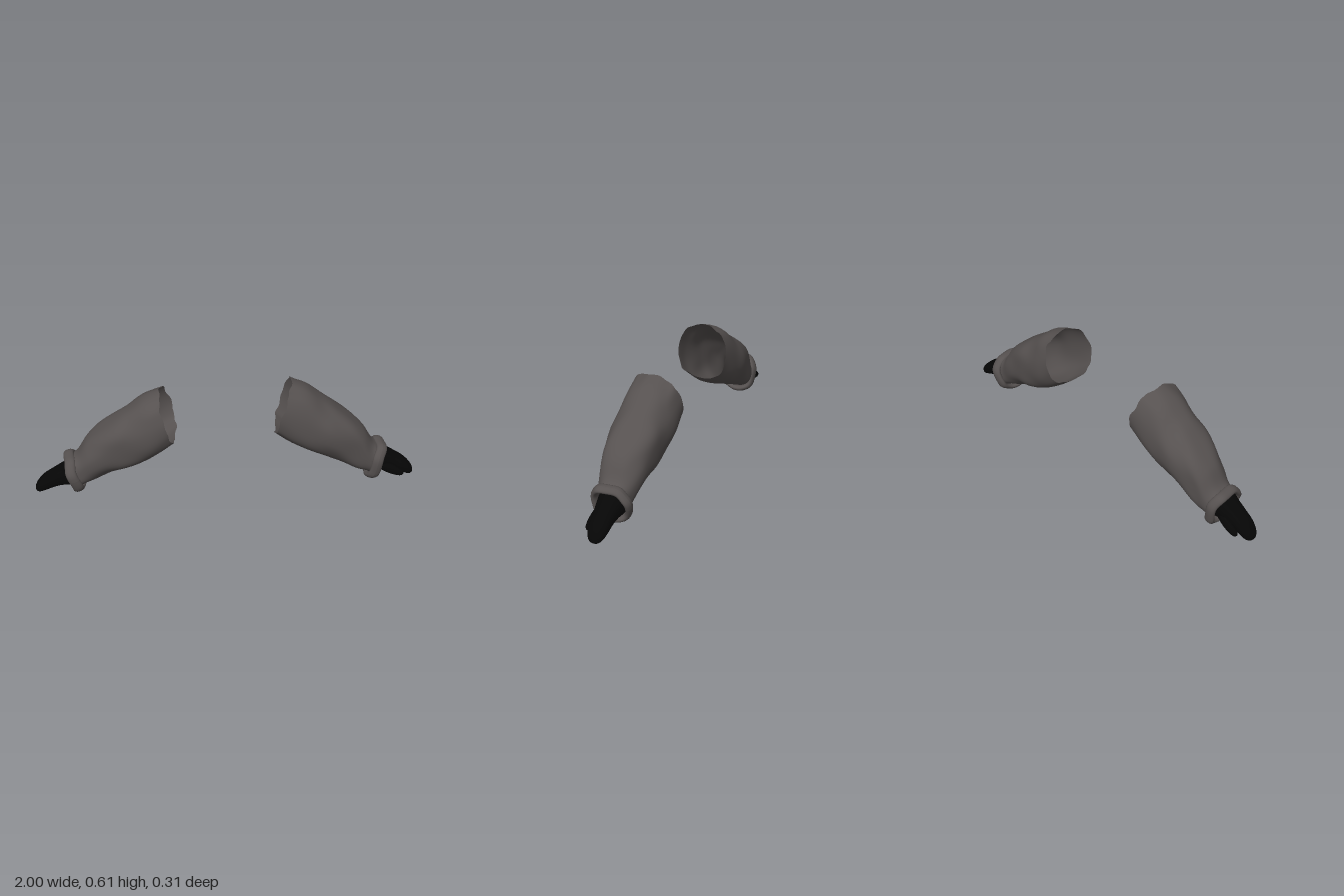
import * as THREE from 'three';

const SLEEVE = new THREE.MeshStandardMaterial({ color: 0x565150, side: THREE.DoubleSide });
SLEEVE.name = 'greyCloth';
const GLOVE = new THREE.MeshStandardMaterial({ color: 0x060606, side: THREE.DoubleSide });
GLOVE.name = 'blackGlove';

const sgnPow = (v, e) => Math.sign(v) * Math.abs(v) ** e;

// Smooth tube through sections [topX, topY, bottomX, bottomY, zBack, zFront].
// tweak(point, t, angle) may shift each vertex.
function loft(rows, { along = 32, around = 40, power = 0.85, tweak } = {}) {
  const curve = (f) => new THREE.CatmullRomCurve3(rows.map(f), false, 'centripetal');
  const top = curve((r) => new THREE.Vector3(r[0], r[1], r[4]));
  const bottom = curve((r) => new THREE.Vector3(r[2], r[3], r[5]));
  const pos = [], index = [];
  for (let i = 0; i <= along; i++) {
    const t = i / along, a = top.getPoint(t), b = bottom.getPoint(t);
    for (let j = 0; j < around; j++) {
      const ang = (j / around) * Math.PI * 2;
      const u = (1 + sgnPow(Math.cos(ang), power)) / 2;
      const w = (1 + sgnPow(Math.sin(ang), power)) / 2;
      const p = new THREE.Vector3(b.x + (a.x - b.x) * u, b.y + (a.y - b.y) * u, a.z + (b.z - a.z) * w);
      if (tweak) tweak(p, t, ang);
      pos.push(p.x, p.y, p.z);
      if (i < along) {
        const k = (j + 1) % around, r = i * around, s = r + around;
        index.push(r + j, r + k, s + j, r + k, s + k, s + j);
      }
    }
  }
  const g = new THREE.BufferGeometry();
  g.setAttribute('position', new THREE.Float32BufferAttribute(pos, 3));
  g.setIndex(index);
  g.computeVertexNormals();
  return g;
}

function add(group, name, geometry, material) {
  const mesh = new THREE.Mesh(geometry, material);
  mesh.name = name;
  group.add(mesh);
}

// Baggy sleeve with soft folds and a ragged shoulder opening
function sleeveGeometry() {
  const rows = [
    [0.335, 0.612, 0.258, 0.34, -0.155, 0.132],
    [0.42, 0.575, 0.345, 0.27, -0.152, 0.134],
    [0.50, 0.513, 0.43, 0.223, -0.143, 0.132],
    [0.57, 0.464, 0.525, 0.182, -0.136, 0.13],
    [0.66, 0.393, 0.60, 0.147, -0.115, 0.12],
    [0.72, 0.328, 0.68, 0.103, -0.098, 0.106],
    [0.77, 0.247, 0.735, 0.08, -0.086, 0.092],
    [0.805, 0.22, 0.77, 0.055, -0.083, 0.084],
  ];
  return loft(rows, {
    along: 44, around: 56, power: 0.78,
    tweak(p, t, a) {
      // narrower towards the top near the shoulder
      p.z *= 1 - 0.14 * (1 - t) * Math.max(0, Math.cos(a));
      const mid = Math.sin(Math.PI * t);
      const fold = mid * (0.003 * Math.sin(3 * a + 9 * t) + 0.002 * Math.sin(5 * a - 14 * t));
      p.y += fold * Math.cos(a);
      p.z += fold * Math.sin(a) * 1.5;
      const rim = Math.max(0, 1 - t / 0.2);
      p.x += rim * (-0.016 * Math.sin(a) + 0.004 * Math.sin(6 * a + 1) + 0.003 * Math.sin(11 * a));
      p.y += rim * 0.004 * Math.sin(7 * a + 2);
    },
  });
}

// Rolled cuff: a squarish, slightly lumpy band
function cuffGeometry() {
  const g = new THREE.TorusGeometry(1, 0.17, 16, 56);
  const p = g.attributes.position;
  for (let i = 0; i < p.count; i++) {
    const x = p.getX(i), y = p.getY(i), a = Math.atan2(y, x);
    const lump = 1 + 0.025 * Math.sin(3 * a + 1) + 0.015 * Math.sin(7 * a);
    const s = Math.hypot(x, y) * 0.089 * lump;
    p.setXYZ(i, s * 1.02 * sgnPow(Math.cos(a), 0.82), s * 1.06 * sgnPow(Math.sin(a), 0.86),
      p.getZ(i) * 0.17 + 0.004 * Math.sin(4 * a));
  }
  g.rotateY(Math.PI / 2);
  g.rotateZ(-0.27);
  g.translate(0.79, 0.134, 0);
  g.computeVertexNormals();
  return g;
}

function createArm(name) {
  const arm = new THREE.Group();
  arm.name = name;
  add(arm, 'sleeve', sleeveGeometry(), SLEEVE);
  add(arm, 'cuff', cuffGeometry(), SLEEVE);

  const hand = new THREE.Group();
  hand.name = 'glovedHand';
  // Wrist, palm and closed fingers in one smooth mitten shape
  add(hand, 'mitten', loft([
    [0.75, 0.215, 0.715, 0.095, -0.06, 0.05],
    [0.80, 0.207, 0.775, 0.075, -0.079, 0.066],
    [0.85, 0.18, 0.83, 0.073, -0.068, 0.058],
    [0.90, 0.15, 0.885, 0.063, -0.06, 0.048],
    [0.95, 0.115, 0.938, 0.042, -0.055, 0.045],
    [0.983, 0.08, 0.973, 0.027, -0.043, 0.034],
    [0.997, 0.056, 0.992, 0.027, -0.026, 0.016],
    [1.0, 0.041, 0.999, 0.037, -0.008, -0.002],
  ], { along: 35, power: 0.8 }), GLOVE);
  // Thumb along the front side
  add(hand, 'thumb', loft([
    [0.80, 0.14, 0.79, 0.095, 0.01, 0.052],
    [0.86, 0.122, 0.85, 0.068, 0.028, 0.07],
    [0.91, 0.095, 0.90, 0.05, 0.036, 0.073],
    [0.935, 0.075, 0.93, 0.047, 0.043, 0.068],
    [0.943, 0.06, 0.942, 0.058, 0.054, 0.057],
  ], { along: 18, around: 16, power: 1 }), GLOVE);
  arm.add(hand);
  return arm;
}

export function createModel() {
  const model = new THREE.Group();
  model.name = 'sleevedArms';
  const left = createArm('leftArm');
  const right = createArm('rightArm');
  // The right arm is the left one turned half round, hung slightly lower
  right.rotation.y = Math.PI;
  right.position.y = -0.022;
  model.add(left, right);
  return model;
}
